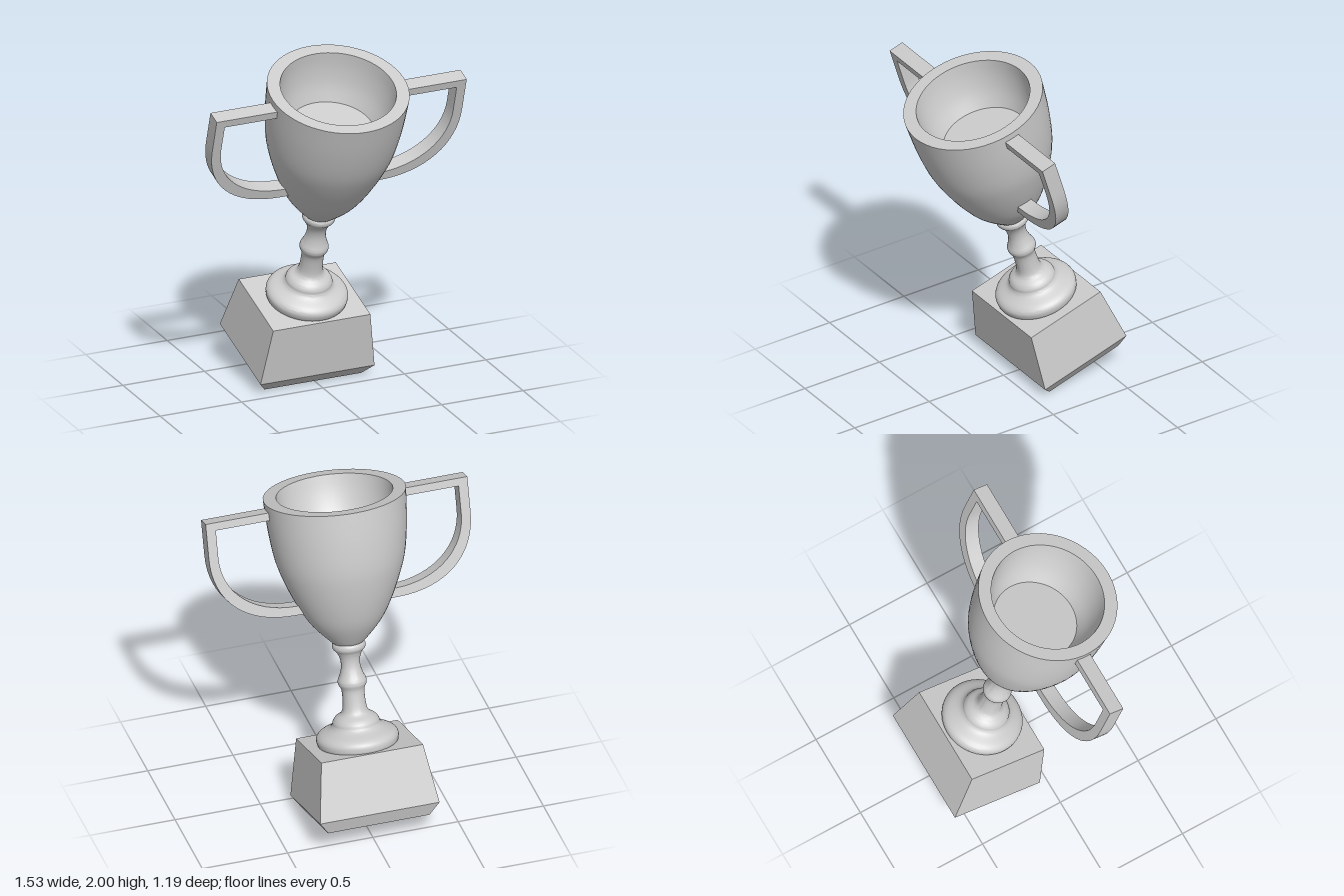
import * as THREE from 'three';
import { toCreasedNormals } from 'three/addons/utils/BufferGeometryUtils.js';

const material = new THREE.MeshStandardMaterial({ color: 0xcccccc });
const vec = ([x, y]) => new THREE.Vector2(x, y);
const smooth = (pts, n) => new THREE.SplineCurve(pts.map(vec)).getPoints(n);

function part(name, geometry, crease = 0.6) {
  const mesh = new THREE.Mesh(toCreasedNormals(geometry, crease), material);
  mesh.name = name;
  return mesh;
}

// D-shaped loop handle: square top bar, straight outer bar, curved return to the cup
function handle(side) {
  const s = new THREE.Shape();
  s.moveTo(0.36 * side, 1.853);
  s.lineTo(0.767 * side, 1.853);
  s.lineTo(0.767 * side, 1.645);
  s.bezierCurveTo(0.767 * side, 1.4, 0.6 * side, 1.227, 0.3 * side, 1.227);
  s.lineTo(0.22 * side, 1.227);
  s.lineTo(0.22 * side, 1.28);
  s.lineTo(0.29 * side, 1.28);
  s.bezierCurveTo(0.55 * side, 1.285, 0.712 * side, 1.44, 0.712 * side, 1.645);
  s.lineTo(0.712 * side, 1.807);
  s.lineTo(0.36 * side, 1.807);
  s.closePath();
  const depth = 0.089;
  const geometry = new THREE.ExtrudeGeometry(s, { depth, bevelEnabled: false, curveSegments: 16 });
  geometry.translate(0, 0, 0.016 - depth / 2);
  return part(side > 0 ? 'leftHandle' : 'rightHandle', geometry);
}

export function createModel() {
  const trophy = new THREE.Group();
  trophy.name = 'trophy';

  // Four-sided plinth, tapering upwards with a chamfered foot
  const q = Math.SQRT2;
  const plinthProfile = [[0, 0], [0.297 * q, 0], [0.35 * q, 0.077], [0.298 * q, 0.416], [0, 0.416]].map(vec);
  const plinth = part('plinth', new THREE.LatheGeometry(plinthProfile, 4, Math.PI / 4), 0.1);
  plinth.scale.z = 0.815;
  plinth.position.x = -0.01;
  trophy.add(plinth);

  // Turned stem with stepped foot, knob and collar
  const stemProfile = smooth([
    [0.222, 0.412], [0.23, 0.43], [0.23, 0.46], [0.208, 0.485], [0.155, 0.51], [0.135, 0.53],
    [0.13, 0.55], [0.113, 0.572], [0.082, 0.593], [0.068, 0.625], [0.063, 0.69], [0.066, 0.735],
    [0.08, 0.765], [0.08, 0.79], [0.067, 0.82], [0.055, 0.865], [0.056, 0.91], [0.07, 0.95],
    [0.09, 0.975], [0.094, 0.992], [0.088, 1.01], [0.06, 1.025],
  ], 84);
  trophy.add(part('stem', new THREE.LatheGeometry(stemProfile, 48), 0.9));

  // Cup: curved outer wall, flat rim, shallow bowl with a flat floor
  const outer = smooth([
    [0.065, 1.0], [0.1, 1.025], [0.2, 1.14], [0.268, 1.26], [0.327, 1.4],
    [0.366, 1.53], [0.39, 1.7], [0.402, 1.891],
  ], 32);
  const inner = smooth([[0.328, 1.891], [0.314, 1.8], [0.285, 1.7], [0.241, 1.61]], 10);
  const cupProfile = [vec([0, 1.0]), ...outer, ...inner, vec([0, 1.61])];
  trophy.add(part('cup', new THREE.LatheGeometry(cupProfile, 56), 0.6));

  for (const side of [1, -1]) trophy.add(handle(side));

  // The whole trophy leans forward
  trophy.rotation.x = THREE.MathUtils.degToRad(17);
  trophy.position.set(0, 0.073, -0.3475);

  const model = new THREE.Group();
  model.name = 'leaningTrophy';
  model.add(trophy);
  return model;
}
